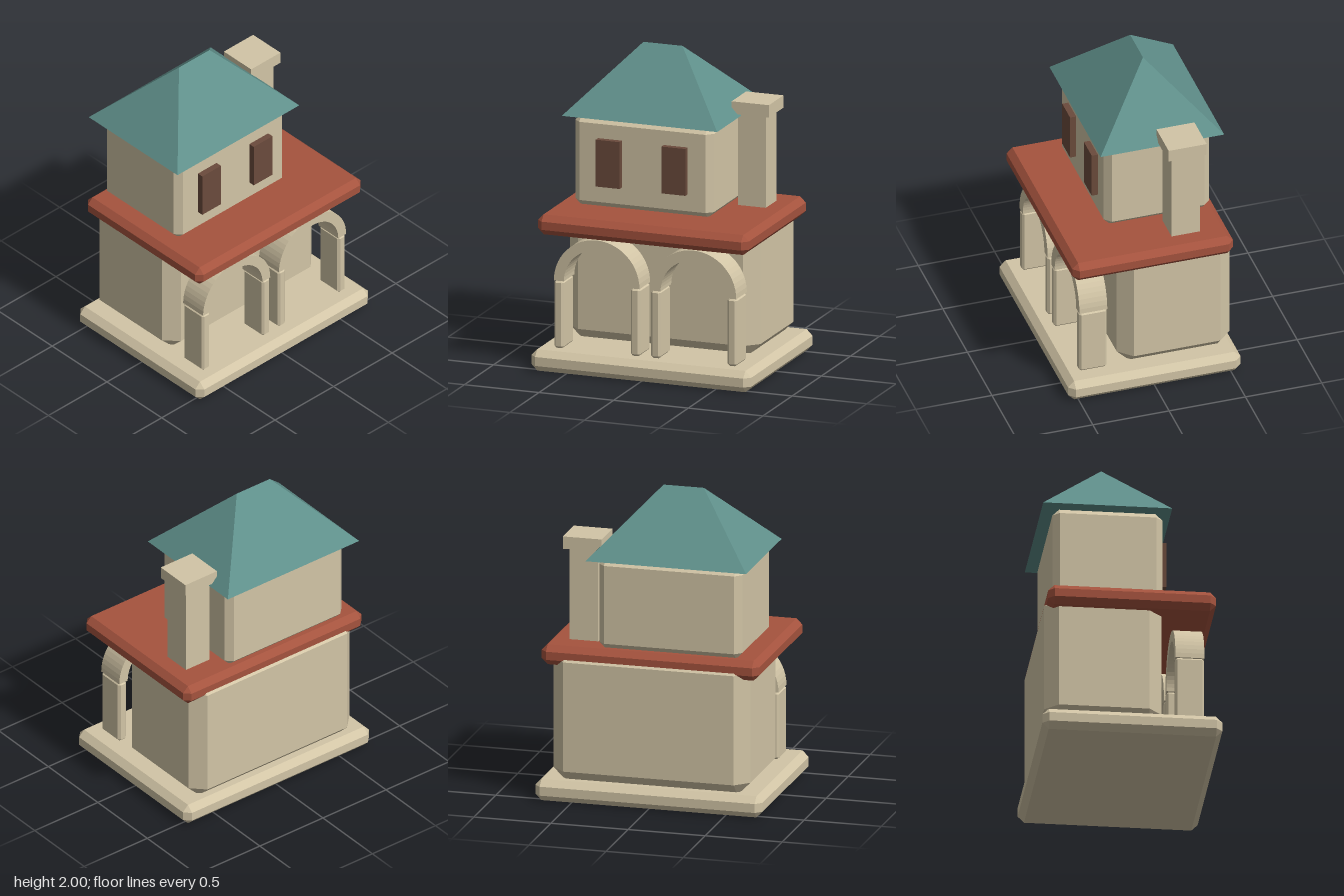
import * as THREE from 'three';
import { ConvexGeometry } from 'three/addons/geometries/ConvexGeometry.js';

const material = (name, color) => {
  const m = new THREE.MeshStandardMaterial({ color });
  m.name = name;
  return m;
};

// Box between two corners, with every edge and corner cut by c
function chamferBox([x0, y0, z0], [x1, y1, z1], c) {
  const points = [];
  for (const [x, sx] of [[x0, 1], [x1, -1]])
    for (const [y, sy] of [[y0, 1], [y1, -1]])
      for (const [z, sz] of [[z0, 1], [z1, -1]])
        points.push(
          new THREE.Vector3(x, y + sy * c, z + sz * c),
          new THREE.Vector3(x + sx * c, y, z + sz * c),
          new THREE.Vector3(x + sx * c, y + sy * c, z));
  return new ConvexGeometry(points);
}

// Plain box between two corners
function box([x0, y0, z0], [x1, y1, z1]) {
  return new THREE.BoxGeometry(x1 - x0, y1 - y0, z1 - z0)
    .translate((x0 + x1) / 2, (y0 + y1) / 2, (z0 + z1) / 2);
}

export function createModel() {
  const stone = material('stone', 0xd2c5a6);
  const red = material('terracotta', 0xa5533e);
  const teal = material('teal roof', 0x5f8f8a);
  const brown = material('brown shutter', 0x6b4b3c);

  const house = new THREE.Group();
  house.name = 'house';
  const add = (name, geometry, mat, parent = house) => {
    const mesh = new THREE.Mesh(geometry, mat);
    mesh.name = name;
    parent.add(mesh);
    return mesh;
  };

  // Storeys and slabs
  add('base', chamferBox([-0.737, 0, -0.565], [0.737, 0.138, 0.565], 0.04), stone);
  add('lowerStorey', chamferBox([-0.638, 0.115, -0.538], [0.638, 0.995, 0.2], 0.085), stone);
  add('terraceRoof', chamferBox([-0.706, 0.876, -0.525], [0.706, 1.005, 0.528], 0.038), red);
  add('upperStorey', chamferBox([-0.583, 0.995, -0.485], [0.345, 1.585, 0.205], 0.042), stone);

  // Hipped roof: eaves rectangle and a short ridge
  add('hippedRoof', new ConvexGeometry([
    [-0.638, 1.585, -0.553], [0.403, 1.585, -0.553],
    [-0.638, 1.585, 0.257], [0.403, 1.585, 0.257],
    [-0.248, 2, -0.146], [0.013, 2, -0.146],
  ].map((p) => new THREE.Vector3(...p))), teal);

  // Chimney
  const chimney = new THREE.Group();
  chimney.name = 'chimney';
  house.add(chimney);
  add('chimneyStack', box([0.382, 0.99, -0.34], [0.568, 1.6, -0.155]), stone, chimney);
  add('chimneyCap', box([0.35, 1.6, -0.375], [0.6, 1.68, -0.126]), stone, chimney);

  // Shuttered windows
  for (const x of [-0.335, 0.105])
    add('window', box([x - 0.08, 1.147, 0.195], [x + 0.08, 1.45, 0.245]), brown);

  // Porch arches, each on two posts
  const springY = 0.576, back = 0.28, front = 0.462;
  const ring = new THREE.Shape();
  ring.absarc(0, 0, 0.287, 0, Math.PI, false);
  ring.absarc(0, 0, 0.22, Math.PI, 0, true);
  const archGeometry = new THREE.ExtrudeGeometry(ring, {
    depth: front - back, bevelEnabled: false, curveSegments: 14,
  });
  const postGeometry = chamferBox([-0.032, 0.138, back], [0.032, springY, front], 0.014);
  for (const x of [-0.324, 0.324]) {
    const bay = new THREE.Group();
    bay.name = 'archBay';
    bay.position.x = x;
    house.add(bay);
    add('arch', archGeometry, stone, bay).position.set(0, springY, back);
    for (const side of [-1, 1])
      add('post', postGeometry, stone, bay).position.x = side * 0.256;
  }
  return house;
}
